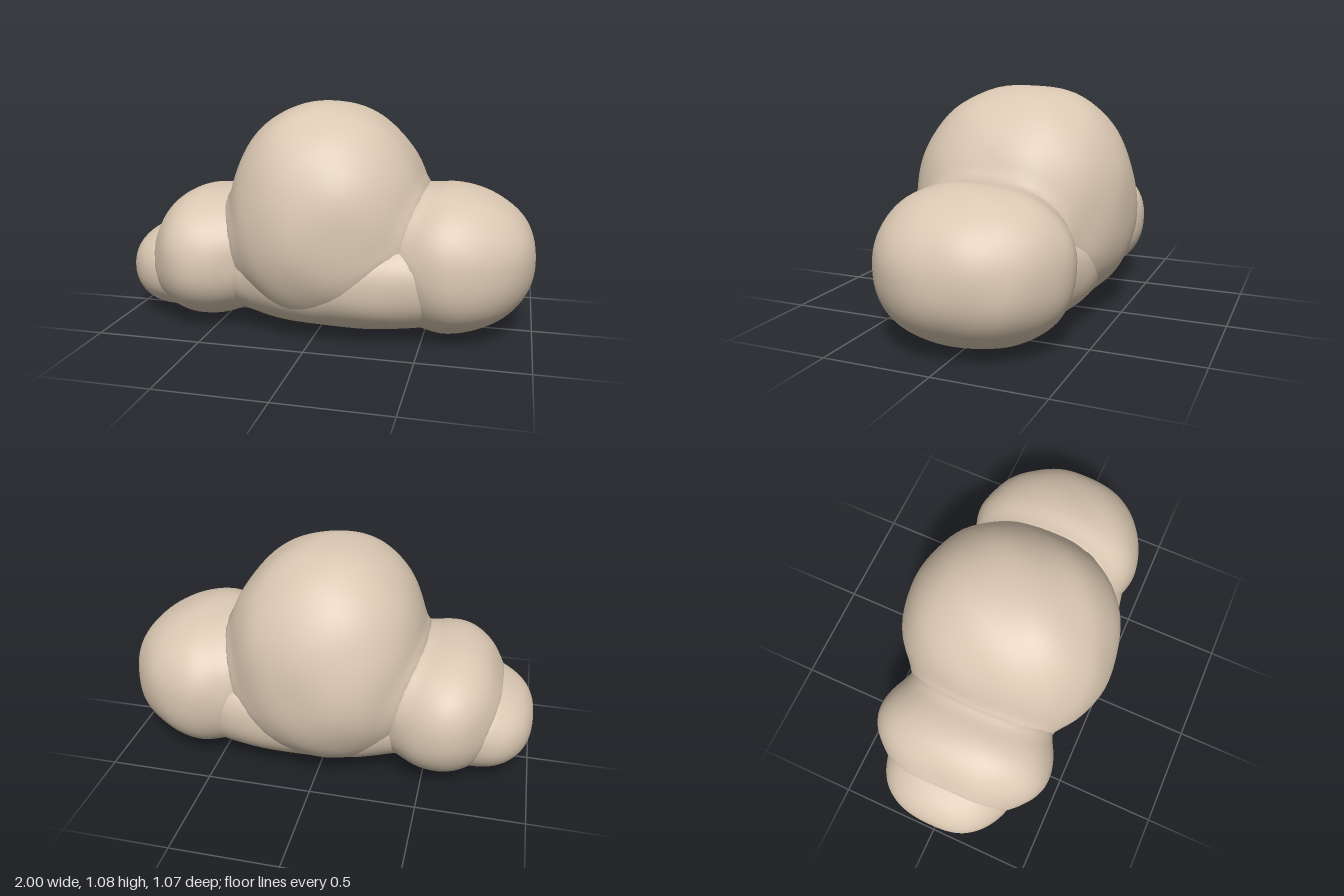
import * as THREE from 'three';
import { mergeVertices } from 'three/addons/utils/BufferGeometryUtils.js';

// Each puff: centre, low and high corners of its bounds, roundness exponent along x, y and z
const puffs = [
  { name: 'mainPuff', c: [-0.02, 0.49, 0], lo: [-0.472, 0.015, -0.54], hi: [0.505, 1.085, 0.53], e: [2.1, 2.15, 2.4] },
  { name: 'leftSidePuff', c: [0.6, 0.36, 0], lo: [0.25, 0.008, -0.46], hi: [1.0, 0.71, 0.44], e: [1.75, 2.3, 2.25] },
  { name: 'rightSidePuff', c: [-0.58, 0.34, 0], lo: [-0.85, 0.015, -0.455], hi: [-0.23, 0.655, 0.45], e: [2.05, 2.3, 2.2] },
  { name: 'smallEndPuff', c: [-0.76, 0.25, 0], lo: [-1.0, 0.035, -0.33], hi: [-0.5, 0.465, 0.31], e: [2.1, 2.2, 2.2] },
  { name: 'cloudBase', c: [0.12, 0.3, 0], lo: [-0.58, 0.01, -0.44], hi: [0.82, 0.54, 0.46], e: [2.5, 2.4, 2.2] },
];

const radius = (b, v, i) => (v[i] >= b.c[i] ? b.hi[i] - b.c[i] : b.c[i] - b.lo[i]);

// Implicit rounded shape: 1 on the surface, below 1 inside
function field(b, v) {
  return v.reduce((sum, n, i) => sum + (Math.abs(n - b.c[i]) / radius(b, v, i)) ** b.e[i], 0);
}

// Approximate outward normal of a puff
function outward(b, v) {
  const n = v.map((a, i) => (a - b.c[i]) / radius(b, v, i) ** 2);
  return new THREE.Vector3(...n).normalize();
}

// Point where a ray from the centre meets the surface
function surfacePoint(b, d) {
  const at = (t) => b.c.map((c, i) => c + d.getComponent(i) * t);
  let near = 0, far = 1.5;
  for (let i = 0; i < 24; i++) {
    const mid = (near + far) / 2;
    if (field(b, at(mid)) < 1) near = mid; else far = mid;
  }
  return at(near);
}

// Soft swelling towards neighbouring puffs, strongest where they meet at an angle
function fillet(b, v, n) {
  const reach = 0.08;
  let most = 0;
  for (const o of puffs) {
    if (o === b) continue;
    const size = (o.hi[0] - o.lo[0] + o.hi[1] - o.lo[1]) / 4;
    const gap = Math.abs(Math.sqrt(field(o, v)) - 1) * size;
    const bend = Math.min(1, 1 - n.dot(outward(o, v)));
    most = Math.max(most, (reach / 4) * Math.max(0, 1 - gap / reach) ** 2 * bend);
  }
  return most;
}

function puffGeometry(b) {
  let geo = new THREE.IcosahedronGeometry(1, 16);
  geo.deleteAttribute('uv');
  geo.deleteAttribute('normal');
  geo = mergeVertices(geo, 1e-4);
  const pos = geo.attributes.position;
  const d = new THREE.Vector3();
  for (let i = 0; i < pos.count; i++) {
    d.fromBufferAttribute(pos, i).normalize();
    const v = surfacePoint(b, d);
    const n = outward(b, v);
    // Gentle hand-moulded lumps
    const lump = 0.005 * Math.sin(13 * v[0] + 5 * v[2]) * Math.sin(12 * v[1] + 2) * Math.cos(11 * v[2] + 4 * v[0]);
    const push = fillet(b, v, n) + lump;
    pos.setXYZ(i, v[0] + n.x * push, Math.max(0.002, v[1] + n.y * push), v[2] + n.z * push);
  }
  geo.computeVertexNormals();
  return geo;
}

export function createModel() {
  const cloud = new THREE.Group();
  cloud.name = 'cloud';
  const clay = new THREE.MeshStandardMaterial({ color: 0xdac8b2 });
  clay.name = 'warm beige';
  for (const b of puffs) {
    const mesh = new THREE.Mesh(puffGeometry(b), clay);
    mesh.name = b.name;
    cloud.add(mesh);
  }
  return cloud;
}
